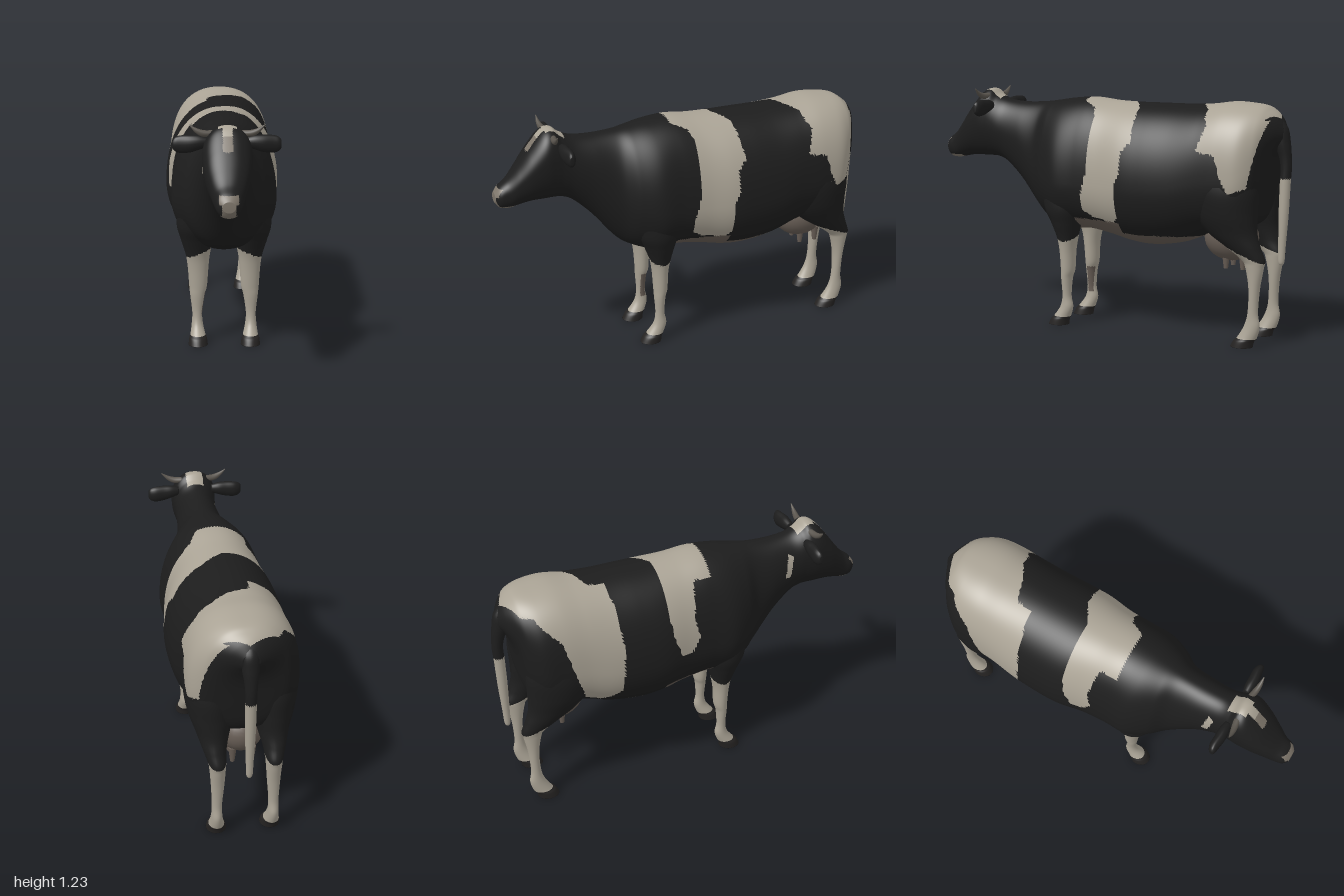
import * as THREE from 'three';

const mat = (name, color) => Object.assign(new THREE.MeshStandardMaterial({ color }), { name });
const BLACK = 0, CREAM = 1, HOOF = 2, SKIN = 3, NOSE = 4;

// smooth interpolation through rows of numbers, t in 0..1
function sample(rows, t) {
  const f = t * (rows.length - 1), i = Math.min(Math.floor(f), rows.length - 2), u = f - i;
  const row = k => rows[Math.max(0, Math.min(rows.length - 1, k))];
  return rows[0].map((_, c) => {
    const [a, b, d, e] = [row(i - 1)[c], row(i)[c], row(i + 1)[c], row(i + 2)[c]];
    return b + 0.5 * u * (d - a + u * (2 * a - 5 * b + 4 * d - e + u * (3 * (b - d) + e - a)));
  });
}

// closed skin through cross-sections; ring(row, angle) gives [x, y, z], paint(x, y, z) a material index
function loft(name, rows, steps, around, ring, paint, mats) {
  const pos = [], faces = mats.map(() => []);
  for (let i = 0; i <= steps; i++) {
    const row = sample(rows, i / steps);
    for (let j = 0; j < around; j++) pos.push(...ring(row, (j / around) * Math.PI * 2));
  }
  // end caps meet in a centre point
  const centre = start => {
    const c = [0, 0, 0];
    for (let j = 0; j < around; j++) for (let k = 0; k < 3; k++) c[k] += pos[(start + j) * 3 + k] / around;
    pos.push(...c);
    return pos.length / 3 - 1;
  };
  const last = steps * around, c0 = centre(0), c1 = centre(last);
  const tris = [];
  for (let j = 0; j < around; j++) {
    const k = (j + 1) % around;
    tris.push([c0, k, j], [c1, last + j, last + k]);
    for (let i = 0; i < steps; i++) {
      const a = i * around + j, b = i * around + k;
      tris.push([a, b, b + around], [a, b + around, a + around]);
    }
  }
  const v = i => new THREE.Vector3(pos[i * 3], pos[i * 3 + 1], pos[i * 3 + 2]);
  let volume = 0;
  for (const t of tris) {
    const [a, b, c] = t.map(v);
    volume += a.dot(b.clone().cross(c));
    const m = a.add(b).add(c).divideScalar(3);
    faces[paint(m.x, m.y, m.z)].push(t);
  }
  const geo = new THREE.BufferGeometry();
  geo.setAttribute('position', new THREE.Float32BufferAttribute(pos, 3));
  const index = [];
  faces.forEach((list, m) => {
    geo.addGroup(index.length, list.length * 3, m);
    for (const [a, b, c] of list) volume < 0 ? index.push(a, c, b) : index.push(a, b, c);
  });
  geo.setIndex(index);
  geo.computeVertexNormals();
  const mesh = new THREE.Mesh(geo, mats);
  mesh.name = name;
  return mesh;
}

function inside(poly, x, y) {
  let hit = false;
  poly.forEach(([ax, ay], i) => {
    const [bx, by] = poly[(i + 1) % poly.length];
    if ((ay > y) !== (by > y) && x < ax + ((y - ay) / (by - ay)) * (bx - ax)) hit = !hit;
  });
  return hit;
}

// coat patches: seen from above as (x, z), on each flank as (z, y)
const topPatches = [
  [[-0.3, -0.16], [0, -0.16], [0.1, -0.22], [0.3, -0.25], [0.3, -0.02], [0.2, 0], [0.13, 0.02], [0.08, 0.1], [-0.17, 0.1], [-0.2, 0], [-0.3, 0]],
  [[-0.3, -0.43], [-0.08, -0.43], [-0.07, -0.52], [0.05, -0.56], [0.13, -0.61], [0.3, -0.62], [0.26, -0.86], [0.12, -0.9], [0, -0.945], [-0.13, -0.89], [-0.3, -0.82]]];
const leftPatches = [
  [[0.03, 1.16], [0, 1.1], [0, 0.85], [0.04, 0.7], [0.04, 0.64], [-0.02, 0.6], [-0.14, 0.58], [-0.175, 0.62], [-0.17, 0.78], [-0.2, 0.85], [-0.2, 0.95], [-0.245, 1], [-0.23, 1.1], [-0.25, 1.17]],
  [[-0.6, 1.17], [-0.635, 1.09], [-0.6, 0.97], [-0.7, 0.955], [-0.73, 0.85], [-0.77, 0.77], [-0.85, 0.8], [-0.875, 0.93], [-0.89, 1.01], [-0.92, 1.12], [-0.9, 1.17]]];
const rightPatches = [
  [[0.03, 1.16], [0, 1.1], [-0.02, 0.95], [0, 0.85], [-0.04, 0.78], [-0.1, 0.77], [-0.14, 0.87], [-0.16, 1], [-0.16, 1.16]],
  [[-0.43, 1.17], [-0.41, 0.9], [-0.42, 0.64], [-0.52, 0.58], [-0.6, 0.62], [-0.66, 0.8], [-0.72, 1], [-0.82, 1.1], [-0.84, 1.17]],
  [[0.57, 1.1], [0.6, 1.08], [0.58, 0.97], [0.55, 0.97]]];

function coat(x, y, z) {
  const ax = Math.abs(x);
  // blaze, dimmer on the forehead
  if (z > 0.64 && y > 1.12) return ax > (z < 0.735 ? 0.045 : 0.023) ? BLACK : z < 0.775 ? CREAM : NOSE;
  // muzzle and lower lip
  if (z > 0.94 && y < 0.95 && ax < (y > 0.91 ? 0.045 : 0.032)) return NOSE;
  if (z > 0.9) return y < 0.858 ? NOSE : BLACK;
  if (y > 1.12 && z < 0.3) return topPatches.some(p => inside(p, x, z)) ? CREAM : BLACK;
  // bare belly rises a little below the pale band
  if (z < 0.2 && z > -0.7 && y < (z > -0.17 && z < 0.11 ? 0.585 : 0.525)) return SKIN;
  return (x > 0 ? leftPatches : rightPatches).some(p => inside(p, z, y)) ? CREAM : BLACK;
}

// torso, neck and head: z, top, bottom, half width, height of widest point, squareness
const bodyRows = [
  [-0.965, 1.09, 1.01, 0.04, 1.05, 2], [-0.935, 1.135, 0.975, 0.1, 1.05, 2], [-0.9, 1.165, 0.88, 0.16, 1.02, 2.2], [-0.865, 1.185, 0.65, 0.215, 0.92, 2.3],
  [-0.8, 1.195, 0.58, 0.262, 0.85, 2.4], [-0.7, 1.2, 0.56, 0.275, 0.84, 2.4], [-0.58, 1.185, 0.53, 0.28, 0.82, 2.3],
  [-0.45, 1.18, 0.48, 0.292, 0.78, 2.15], [-0.3, 1.18, 0.455, 0.298, 0.77, 2.12], [-0.18, 1.18, 0.462, 0.295, 0.77, 2.12],
  [-0.05, 1.185, 0.49, 0.272, 0.77, 2.15], [0.08, 1.198, 0.51, 0.265, 0.77, 2.15], [0.2, 1.19, 0.5, 0.265, 0.77, 2.05],
  [0.3, 1.175, 0.53, 0.22, 0.8, 2], [0.38, 1.165, 0.585, 0.16, 0.84, 2], [0.5, 1.16, 0.73, 0.125, 0.95, 2],
  [0.6, 1.17, 0.825, 0.11, 1.0, 2], [0.66, 1.195, 0.855, 0.11, 1.04, 2.1], [0.7, 1.225, 0.86, 0.115, 1.07, 2.2],
  [0.75, 1.21, 0.86, 0.118, 1.07, 2.2], [0.82, 1.13, 0.86, 0.106, 1.02, 2.2], [0.88, 1.05, 0.85, 0.086, 0.97, 2.2],
  [0.93, 0.99, 0.84, 0.067, 0.92, 2.3], [0.975, 0.955, 0.845, 0.055, 0.905, 2.2], [1.0, 0.925, 0.875, 0.03, 0.9, 2]];
const power = (v, n) => Math.sign(v) * Math.abs(v) ** (2 / n);
const bodyRing = ([z, top, bot, w, mid, n], a) => {
  const s = power(Math.sin(a), n);
  return [w * power(Math.cos(a), n), mid + s * (s > 0 ? top - mid : mid - bot), z];
};

// legs: height, inner x, outer x, back z, front z
const frontLegRows = [
  [0.85, 0.1, 0.2, 0.12, 0.24], [0.75, 0.05, 0.235, 0.06, 0.31], [0.63, 0.04, 0.242, 0.08, 0.3], [0.55, 0.055, 0.222, 0.105, 0.265],
  [0.47, 0.072, 0.198, 0.125, 0.235], [0.4, 0.08, 0.187, 0.138, 0.222], [0.3, 0.088, 0.18, 0.143, 0.215], [0.25, 0.1, 0.175, 0.155, 0.213],
  [0.16, 0.113, 0.165, 0.16, 0.208], [0.1, 0.11, 0.168, 0.15, 0.22], [0.05, 0.098, 0.175, 0.165, 0.255], [0.03, 0.09, 0.182, 0.175, 0.275], [0, 0.085, 0.185, 0.18, 0.292]];
const hindLegRows = [
  [0.97, 0.12, 0.2, -0.76, -0.62], [0.9, 0.07, 0.255, -0.85, -0.54], [0.78, 0.03, 0.275, -0.88, -0.52], [0.66, 0.03, 0.26, -0.878, -0.55],
  [0.57, 0.06, 0.23, -0.88, -0.62], [0.5, 0.085, 0.205, -0.9, -0.72], [0.44, 0.095, 0.183, -0.922, -0.8], [0.4, 0.098, 0.177, -0.915, -0.822],
  [0.3, 0.105, 0.17, -0.897, -0.84], [0.18, 0.115, 0.165, -0.89, -0.838], [0.11, 0.112, 0.168, -0.9, -0.82], [0.05, 0.1, 0.175, -0.885, -0.785], [0.03, 0.09, 0.182, -0.87, -0.765], [0, 0.085, 0.185, -0.862, -0.748]];
// pale stockings with a slanted upper edge and a stain inside the right foreleg
function legPaint(x, y, z) {
  if (y < 0.045) return HOOF;
  if (z > 0 && x < 0 && x > -0.122 && z < 0.195 && y > 0.13 && y < 0.27) return SKIN;
  const edge = z > 0 ? 0.5 - (Math.abs(x) - 0.08) * 0.4 : 0.45 + (z + 0.86) * 0.4;
  if (y < edge) return CREAM;
  return y < 0.6 ? BLACK : coat(x, y, z);
}

export function createModel() {
  const black = mat('black coat', 0x1d1d1d), cream = mat('cream coat', 0xaaa395), hoof = mat('hoof', 0x242221);
  const skin = mat('belly skin', 0x665c54), nose = mat('nose', 0x7d756a), horn = mat('horn', 0x5a554e);
  const coatMats = [black, cream, hoof, skin, nose];
  const model = new THREE.Group();
  model.name = 'cow';

  model.add(loft('body', bodyRows, 270, 128, bodyRing, coat, coatMats));

  for (const s of [1, -1]) {
    const side = s > 0 ? 'left' : 'right';
    const legRing = ([y, xi, xo, zb, zf], a) =>
      [s * ((xi + xo) / 2 + (xo - xi) / 2 * Math.cos(a)), y, (zb + zf) / 2 + (zf - zb) / 2 * Math.sin(a)];
    model.add(loft(side + 'FrontLeg', frontLegRows, 110, 32, legRing, legPaint, coatMats));
    model.add(loft(side + 'HindLeg', hindLegRows, 120, 32, legRing, legPaint, coatMats));

    // paddle-shaped ears: x, y, half height, z, half depth
    const earRows = [[0.09, 1.14, 0.022, 0.672, 0.018], [0.13, 1.138, 0.034, 0.672, 0.026], [0.17, 1.133, 0.041, 0.672, 0.027],
      [0.215, 1.13, 0.042, 0.668, 0.024], [0.242, 1.13, 0.034, 0.67, 0.018], [0.254, 1.13, 0.02, 0.673, 0.01]];
    model.add(loft(side + 'Ear', earRows, 24, 20,
      ([x, y, h, z, d], a) => [s * x, y + h * Math.sin(a), z + d * Math.cos(a)], () => 0, [black]));

    // horns sweep outward and up to a point
    const hornRows = [[0.07, 1.187, 0.705, 0.016], [0.11, 1.188, 0.712, 0.015], [0.145, 1.203, 0.716, 0.01], [0.175, 1.228, 0.716, 0.002]];
    model.add(loft(side + 'Horn', hornRows, 16, 12,
      ([x, y, z, r], a) => [s * (x - r * Math.sin(a) * 0.5), y + r * Math.sin(a), z + r * Math.cos(a)], () => 0, [horn]));

    for (const z of [-0.68, -0.77]) {
      const teat = new THREE.Mesh(new THREE.CylinderGeometry(0.021, 0.011, 0.08, 12), skin);
      teat.name = side + 'Teat';
      teat.position.set(s * 0.048, 0.407, z);
      model.add(teat);
    }
  }

  const udder = new THREE.Mesh(new THREE.SphereGeometry(1, 28, 18), skin);
  udder.name = 'udder';
  udder.position.set(0, 0.52, -0.69);
  udder.scale.set(0.12, 0.118, 0.14);
  model.add(udder);

  // tail grows thick out of the rump, hangs clear of it and is pale below
  const tailRows = [[1.135, -0.9, 0.03], [1.08, -0.93, 0.045], [1.01, -0.948, 0.042], [0.94, -0.965, 0.032], [0.88, -0.971, 0.028], [0.8, -0.967, 0.027],
    [0.65, -0.962, 0.025], [0.5, -0.957, 0.019], [0.42, -0.955, 0.016], [0.4, -0.955, 0.008]];
  model.add(loft('tail', tailRows, 72, 18, ([y, z, r], a) => [r * Math.cos(a), y, z + r * Math.sin(a)],
    (x, y) => y < 0.83 ? CREAM : BLACK, coatMats));
  return model;
}
